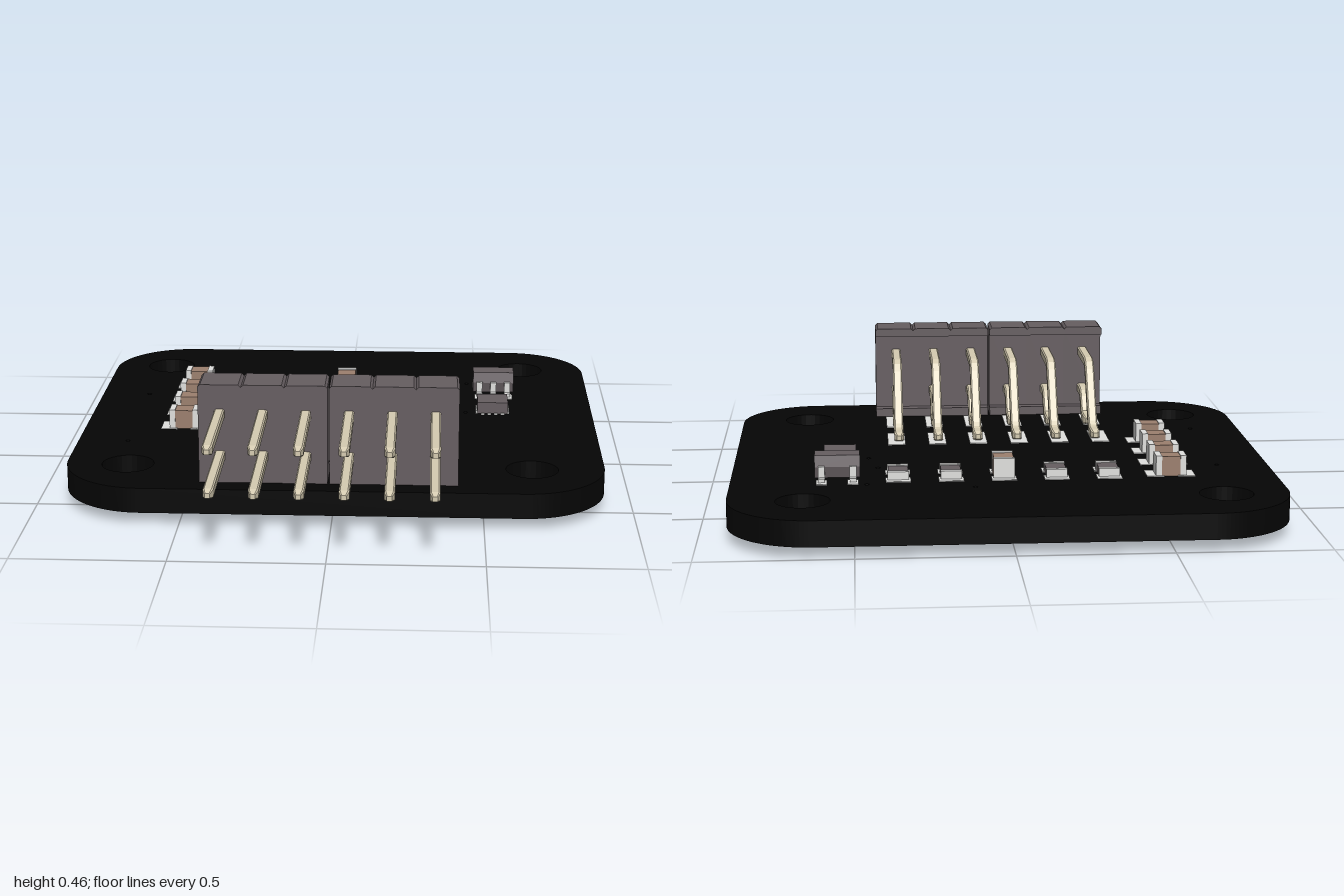
import * as THREE from 'three';

const mat = (name, color) => Object.assign(new THREE.MeshStandardMaterial({ color }), { name });
const M = {
  board: mat('board black', 0x050505),
  plastic: mat('dark plastic', 0x665e61),
  pin: mat('pale gold', 0xd6ccb2),
  silver: mat('solder silver', 0xe0e0de),
  ceramic: mat('ceramic brown', 0x9c806f),
  chip: mat('sensor grey', 0x868686),
};
const TOP = 0.125, BOTTOM = 0.04;

function add(parent, name, geometry, material, x = 0, y = 0, z = 0) {
  const mesh = new THREE.Mesh(geometry, material);
  mesh.name = name;
  mesh.position.set(x, y, z);
  parent.add(mesh);
  return mesh;
}
// Box standing on height y
const box = (parent, name, material, w, h, d, x, y, z) =>
  add(parent, name, new THREE.BoxGeometry(w, h, d), material, x, y + h / 2, z);
const pad = (parent, w, d, x, z) => box(parent, 'solderPad', M.silver, w, 0.003, d, x, TOP, z);
const extrude = (shape, depth) =>
  new THREE.ExtrudeGeometry(shape, { depth, bevelEnabled: false, curveSegments: 16 });

// Rounded board with mounting holes and tiny vias
function makeBoard(parent) {
  const s = new THREE.Shape(), X = 0.908, a = -0.678, b = 1, r = 0.28;
  s.moveTo(-X + r, a);
  s.lineTo(X - r, a).absarc(X - r, a + r, r, -Math.PI / 2, 0, false);
  s.lineTo(X, b - r).absarc(X - r, b - r, r, 0, Math.PI / 2, false);
  s.lineTo(-X + r, b).absarc(-X + r, b - r, r, Math.PI / 2, Math.PI, false);
  s.lineTo(-X, a + r).absarc(-X + r, a + r, r, Math.PI, Math.PI * 1.5, false);
  const hole = (x, z, rad) => s.holes.push(new THREE.Path().absarc(x, -z, rad, 0, Math.PI * 2, true));
  for (const x of [-0.699, 0.664]) for (const z of [-0.757, 0.431]) hole(x, z, 0.088);
  for (const [x, z] of [[0.104, -0.618], [-0.735, -0.372], [0.458, -0.56],
    [0.419, -0.337], [0.449, -0.197], [-0.735, 0.187]]) hole(x, z, 0.008);
  const g = extrude(s, TOP - BOTTOM);
  g.rotateX(-Math.PI / 2);
  add(parent, 'circuitBoard', g, M.board, 0, BOTTOM, 0);
}

// Chamfered square bar swept along [z, y, scale] points, running from front to back
function sweptPin(path) {
  const h = 0.0165, c = 0.012;
  const ring = [[h, -c], [h, c], [c, h], [-c, h], [-h, c], [-h, -c], [-c, -h], [c, -h]];
  const rings = path.map(([z, y, k = 1], i) => {
    const p = path[Math.max(i - 1, 0)], n = path[Math.min(i + 1, path.length - 1)];
    const len = Math.hypot(n[0] - p[0], n[1] - p[1]);
    const dz = (n[0] - p[0]) / len, dy = (n[1] - p[1]) / len;
    return ring.map(([u, v]) => [u * k, y - v * k * dz, z + v * k * dy]);
  });
  const out = [], tri = (a, b, d) => out.push(...a, ...b, ...d);
  for (let i = 0; i < rings.length - 1; i++) {
    for (let j = 0; j < 8; j++) {
      const k = (j + 1) % 8, A = rings[i], B = rings[i + 1];
      tri(A[j], B[j], B[k]);
      tri(A[j], B[k], A[k]);
    }
  }
  const first = rings[0], last = rings[rings.length - 1];
  for (let j = 1; j < 7; j++) {
    tri(first[0], first[j], first[j + 1]);
    tri(last[0], last[j + 1], last[j]);
  }
  const g = new THREE.BufferGeometry();
  g.setAttribute('position', new THREE.Float32BufferAttribute(out, 3));
  g.computeVertexNormals();
  return g;
}

// Right-angle two-row pin header
function makeHeader(parent) {
  const header = new THREE.Group();
  header.name = 'pinHeader';
  parent.add(header);
  const w = 0.0705;
  const slab = (y0, y1, c) => {
    const s = new THREE.Shape();
    s.moveTo(-w, y0).lineTo(w, y0).lineTo(w, y1 - c).lineTo(w - c, y1).lineTo(-w + c, y1).lineTo(-w, y1 - c);
    return s;
  };
  const upper = sweptPin([[1, 0.361, 0.5], [0.975, 0.361], [0.29, 0.361], [0.268, 0.354], [0.25, 0.334],
    [0.14, 0.165], [0.122, 0.148], [0.1, 0.142], [0.05, 0.142], [0.03, 0.142, 0.5]]);
  const lower = sweptPin([[1, 0.219, 0.5], [0.975, 0.219], [0.44, 0.219], [0.418, 0.214], [0.403, 0.2],
    [0.375, 0.163], [0.36, 0.148], [0.335, 0.142], [0.285, 0.142], [0.265, 0.142, 0.5]]);
  for (let i = 0; i < 6; i++) {
    const x = -0.367 + i * 0.141;
    const hx = x + (i < 3 ? 0 : 0.006);
    add(header, 'housing', extrude(slab(TOP, 0.46, 0.008), 0.1), M.plastic, hx, 0, 0.507);
    add(header, 'topLip', extrude(slab(0.43, 0.46, 0.008), 0.038), M.plastic, hx, 0, 0.469);
    box(header, 'bottomLip', M.plastic, w * 2, 0.03, 0.038, hx, TOP, 0.488);
    add(header, 'upperPin', upper, M.pin, x);
    add(header, 'lowerPin', lower, M.pin, x);
    const px = -0.381 + i * 0.1457;
    pad(header, 0.062, 0.18, px, 0.083);
    pad(header, 0.062, 0.18, px, 0.363);
  }
}

// Two-terminal part lying along local x
function makePassive(parent, name, material, height, x, z, turned) {
  const g = new THREE.Group();
  g.name = name;
  g.position.set(x, 0, z);
  if (turned) g.rotation.y = Math.PI / 2;
  parent.add(g);
  box(g, 'body', material, turned ? 0.074 : 0.062, height - 0.003, 0.066, 0, TOP, 0);
  for (const s of [-1, 1]) {
    pad(g, 0.058, 0.083, s * 0.052, 0);
    box(g, 'terminal', M.silver, 0.02, height, 0.07, s * (turned ? 0.046 : 0.041), TOP, 0);
  }
}

// Five-lead regulator with tapered sides
function makeRegulator(parent) {
  const g = new THREE.Group();
  g.name = 'regulator';
  g.position.set(0.555, 0, -0.463);
  parent.add(g);
  const s = new THREE.Shape();
  s.moveTo(-0.036, 0.134).lineTo(0.036, 0.134).lineTo(0.044, 0.172).lineTo(0.036, 0.21)
    .lineTo(-0.036, 0.21).lineTo(-0.044, 0.172);
  const body = extrude(s, 0.15);
  body.rotateY(Math.PI / 2);
  add(g, 'regulatorBody', body, M.plastic, -0.075);
  for (const [side, xs] of [[1, [-0.052, 0, 0.052]], [-1, [-0.052, 0.052]]]) {
    for (const x of xs) {
      pad(g, 0.036, 0.06, x, side * 0.073);
      box(g, 'leadFoot', M.silver, 0.022, 0.012, 0.03, x, TOP + 0.003, side * 0.063);
      box(g, 'leadRise', M.silver, 0.022, 0.046, 0.012, x, TOP + 0.003, side * 0.052);
      box(g, 'leadTop', M.silver, 0.022, 0.012, 0.02, x, 0.164, side * 0.048);
    }
  }
}

// Small square chip with edge contacts
function makeSquareChip(parent) {
  const g = new THREE.Group();
  g.name = 'squareChip';
  g.position.set(0.547, 0, -0.228);
  parent.add(g);
  box(g, 'squareChipBody', M.plastic, 0.11, 0.042, 0.108, 0, TOP + 0.003, 0);
  for (const s of [-1, 1]) for (const t of [-0.036, -0.012, 0.012, 0.036]) {
    box(g, 'contact', M.silver, 0.014, 0.006, 0.013, s * 0.054, TOP, t);
    box(g, 'contact', M.silver, 0.013, 0.006, 0.014, t, TOP, s * 0.053);
  }
}

// Sensor under the board on a grid of solder balls
function makeSensor(parent) {
  const g = new THREE.Group();
  g.name = 'undersideSensor';
  parent.add(g);
  box(g, 'sensorPlate', M.chip, 0.337, 0.022, 0.337, 0.003, 0, -0.163);
  const ball = new THREE.CylinderGeometry(0.006, 0.006, 0.02, 8);
  for (let i = 0; i < 6; i++) for (let j = 0; j < 5; j++)
    add(g, 'solderBall', ball, M.silver, -0.136 + i * 0.0555, 0.031, -0.163 + (j - 2) * 0.07);
}

export function createModel() {
  const model = new THREE.Group();
  model.name = 'sensorBoard';
  makeBoard(model);
  makeHeader(model);
  for (const z of [-0.486, -0.321, -0.155, 0.01]) makePassive(model, 'capacitor', M.ceramic, 0.07, -0.555, z, false);
  for (let i = 0; i < 5; i++) {
    const x = (i - 2) * 0.1755 + 0.003;
    if (i === 2) makePassive(model, 'capacitor', M.ceramic, 0.07, x, -0.463, true);
    else makePassive(model, 'resistor', M.plastic, 0.03, x, -0.463, true);
  }
  makeRegulator(model);
  makeSquareChip(model);
  makeSensor(model);
  return model;
}
